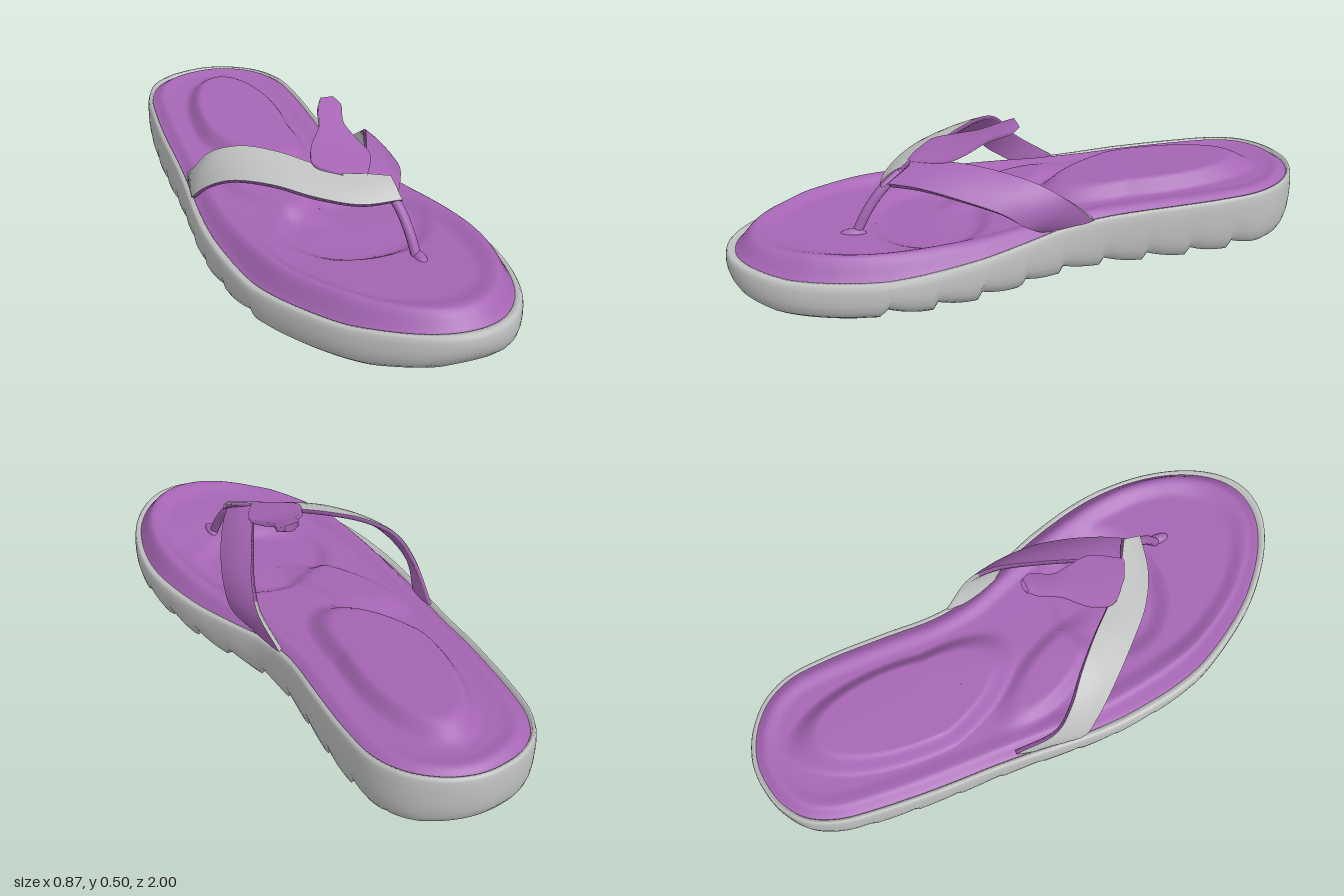
import * as THREE from 'three';

const grey = new THREE.MeshStandardMaterial({ color: 0xc0c2c1, side: THREE.DoubleSide });
grey.name = 'grey rubber';
const purple = new THREE.MeshStandardMaterial({ color: 0xa565b3, side: THREE.DoubleSide });
purple.name = 'purple foam';

const smooth = THREE.MathUtils.smoothstep;
const V = (p) => new THREE.Vector3(...p);

// Linear lookup in a short list of [z, value] pairs
function at(table, z) {
  if (z <= table[0][0]) return table[0][1];
  for (let i = 1; i < table.length; i++) {
    const [z0, a] = table[i - 1], [z1, b] = table[i];
    if (z <= z1) return a + (b - a) * (z - z0) / (z1 - z0);
  }
  return table[table.length - 1][1];
}

// Skin through rows of points; normals face (row direction) x (column direction)
function loft(rows, closed) {
  const n = rows[0].length, pos = [], idx = [];
  rows.forEach((row) => row.forEach((p) => pos.push(p.x, p.y, p.z)));
  for (let r = 0; r < rows.length - 1; r++) {
    for (let i = 0; i < (closed ? n : n - 1); i++) {
      const j = (i + 1) % n;
      const a = r * n + i, b = a + n, c = r * n + j, d = c + n;
      idx.push(a, b, c, b, d, c);
    }
  }
  const g = new THREE.BufferGeometry();
  g.setAttribute('position', new THREE.Float32BufferAttribute(pos, 3));
  g.setIndex(idx);
  g.computeVertexNormals();
  return g;
}

function add(group, name, geometry, material) {
  const m = new THREE.Mesh(geometry, material);
  m.name = name;
  group.add(m);
}

// Foot outline: [z, inner x, outer x]
const WIDTHS = [
  [-0.993, -0.19, -0.07], [-0.965, -0.275, 0.005], [-0.9, -0.355, 0.09], [-0.8, -0.4, 0.148], [-0.65, -0.418, 0.172],
  [-0.45, -0.425, 0.18], [-0.25, -0.422, 0.185], [-0.1, -0.425, 0.22], [0.05, -0.432, 0.293],
  [0.2, -0.43, 0.36], [0.4, -0.402, 0.42], [0.53, -0.365, 0.435], [0.68, -0.285, 0.425],
  [0.82, -0.18, 0.385], [0.92, -0.065, 0.32], [0.97, 0.02, 0.26], [0.993, 0.085, 0.205],
];
const outline = new THREE.CatmullRomCurve3([
  V([-0.13, 0, -1]),
  ...WIDTHS.map(([z, , x]) => V([x, 0, z])),
  V([0.145, 0, 1]),
  ...WIDTHS.slice().reverse().map(([z, x]) => V([x, 0, z])),
], true).getSpacedPoints(280).slice(0, -1);
const SPINE = WIDTHS.map(([z, a, b]) => [z, (a + b) / 2]);

// Outline shrunk toward the spine by s, with a height rule
const ring = (s, height) => outline.map((p) => {
  const cz = THREE.MathUtils.clamp(p.z, -0.72, 0.55), cx = at(SPINE, cz);
  const x = cx + (p.x - cx) * s, z = cz + (p.z - cz) * s;
  return new THREE.Vector3(x, height(x, z, s), z);
});

const TOP = [[-1, 0.225], [-0.9, 0.222], [-0.4, 0.195], [0, 0.165], [0.2, 0.15], [0.5, 0.138], [0.8, 0.15], [1, 0.176]];
const BOTTOM = [[-1, 0.055], [-0.92, 0.032], [-0.6, 0.01], [-0.3, 0.002], [0.2, 0.003], [0.6, 0.015], [0.85, 0.028], [0.95, 0.052], [1, 0.085]];
const RISE = [[-1, 0.01], [-0.3, 0.014], [-0.1, 0.022], [0.2, 0.045], [0.5, 0.07], [0.75, 0.068], [0.9, 0.055], [1, 0.04]];
const INSIDE = [[-1, 0.003], [-0.3, 0.006], [-0.1, 0.01], [0.3, 0.035], [0.7, 0.05], [1, 0.04]];

// Tread: slanted saw-tooth ribs with a shallow channel down the middle
function tread(x, z, s) {
  const zone = smooth(z, -0.86, -0.76) * (1 - smooth(z, 0.5, 0.62));
  const off = Math.abs(x - at(SPINE, z));
  const t = (z + off * 0.4 + 2) / 0.157;
  const saw = Math.pow(t - Math.floor(t), 2);
  return at(BOTTOM, z) + zone * (0.03 * saw + 0.018 * (1 - smooth(off, 0.06, 0.12)) * (s < 0.9 ? 1 : 0));
}

// Footbed: raised rim, heel pad, arch mound and a hollow under the toes
function footbed(x, z, s) {
  const top = at(TOP, z), rise = at(RISE, z);
  let y = top - 0.012 + (rise + 0.012) * (1 - smooth(s, 0.8, 0.965));
  y -= (rise - at(INSIDE, z)) * (1 - smooth(s, 0.64, 0.8));
  const padX = -0.125 + 0.25 * Math.max(0, z + 0.35);
  const pad = Math.hypot((x - padX) / 0.17, (z + 0.45) / 0.4);
  y += 0.05 * (1 - smooth(pad, 0.78, 1.08));
  const arch = Math.hypot((x + 0.17 - 0.5 * (z - 0.05)) / 0.11, (z - 0.05) / 0.24);
  y += 0.025 * (1 - smooth(arch, 0.55, 1.1));
  const hollow = Math.hypot((x - 0.03) / 0.24, (z - 0.34) / 0.2);
  return y - 0.025 * (1 - smooth(hollow, 0.8, 1.1));
}

// Strap with a top face and a wrapped underside, from two edge paths;
// the underside is grey along the first greyRoot part of its length
function strap(name, edgeA, edgeB, topMaterial, thickness, greyRoot = 0) {
  const g = new THREE.Group(), steps = 40;
  g.name = name;
  const [A, B] = [edgeA, edgeB].map((e) => new THREE.CatmullRomCurve3(e.map(V)));
  const top = [[], [], [], [], []], under = [[], [], [], []];
  for (let i = 0; i <= steps; i++) {
    const u = i / steps, a = A.getPoint(u), b = B.getPoint(u);
    const n = b.clone().sub(a).cross(A.getTangent(u)).normalize();
    top.forEach((row, k) => {
      const v = k / 4;
      row.push(a.clone().lerp(b, v).addScaledVector(n, thickness * 2 * v * (1 - v)));
    });
    const down = n.multiplyScalar(-thickness);
    under[0].push(b);
    under[1].push(b.clone().add(down));
    under[2].push(a.clone().add(down));
    under[3].push(a);
  }
  add(g, name + 'Top', loft(top, false), topMaterial);
  const k = Math.round(greyRoot * steps);
  add(g, name + 'Underside', loft(under.map((row) => row.slice(k)), false), purple);
  if (k > 0) add(g, name + 'Root', loft(under.map((row) => row.slice(0, k + 1)), false), grey);
  return g;
}

export function createModel() {
  const model = new THREE.Group();
  model.name = 'sandal';

  // Grey sole: ribbed bottom, bulging side wall, rolled rim
  const soleRows = [];
  for (let i = 0; i <= 16; i++) soleRows.push(ring(0.92 * i / 16, tread));
  const wall = (k) => (x, z, s) => THREE.MathUtils.lerp(tread(x, z, s), at(TOP, z), k);
  [[0.96, 0.1], [0.985, 0.24], [0.997, 0.42], [1, 0.6], [0.998, 0.8], [0.99, 0.93], [0.975, 1], [0.94, 1], [0.91, 0.85]]
    .forEach(([s, k]) => soleRows.push(ring(s, wall(k))));
  add(model, 'sole', loft(soleRows, true), grey);

  // Purple footbed, set slightly toward the outer side
  const bedRows = [];
  for (let i = 0; i <= 44; i++) bedRows.push(ring(0.955 * (1 - i / 44), footbed));
  add(model, 'footbed', loft(bedRows, true).translate(0.006, 0, 0), purple);

  // Straps meeting above the toe post
  model.add(strap('rightStrap',
    [[-0.395, 0.19, -0.17], [-0.4, 0.28, -0.03], [-0.355, 0.365, 0.04], [-0.27, 0.405, 0.11], [-0.17, 0.408, 0.2], [-0.07, 0.392, 0.3], [0.03, 0.39, 0.38], [0.115, 0.39, 0.43]],
    [[-0.405, 0.16, -0.04], [-0.43, 0.22, 0.06], [-0.4, 0.28, 0.12], [-0.335, 0.335, 0.2], [-0.23, 0.357, 0.31], [-0.12, 0.345, 0.41], [0, 0.332, 0.475], [0.125, 0.34, 0.5]],
    grey, 0.014));
  model.add(strap('leftStrap',
    [[0.2, 0.15, -0.05], [0.262, 0.21, 0.04], [0.262, 0.265, 0.12], [0.225, 0.31, 0.25], [0.17, 0.338, 0.38], [0.115, 0.34, 0.485]],
    [[0.185, 0.18, -0.2], [0.22, 0.28, -0.1], [0.205, 0.335, -0.01], [0.16, 0.372, 0.11], [0.105, 0.392, 0.25], [0.05, 0.385, 0.39]],
    purple, 0.014, 0.28));

  // Loose tongue standing up behind the strap joint
  model.add(strap('tongue',
    [[0.05, 0.375, 0.4], [0.1, 0.385, 0.29], [0.085, 0.407, 0.21], [0.065, 0.436, 0.14], [0.082, 0.468, 0.06], [0.065, 0.484, 0.03]],
    [[-0.02, 0.375, 0.37], [-0.09, 0.39, 0.3], [-0.075, 0.408, 0.22], [-0.02, 0.44, 0.14], [0.0, 0.47, 0.07], [0.02, 0.487, 0.035]],
    purple, 0.016));

  // Toe post with a small foot
  const post = new THREE.CatmullRomCurve3([[0.085, 0.36, 0.43], [0.112, 0.325, 0.485], [0.13, 0.26, 0.54], [0.145, 0.16, 0.595]].map(V));
  add(model, 'toePost', new THREE.TubeGeometry(post, 20, 0.016, 10), purple);
  const foot = new THREE.SphereGeometry(1, 16, 10).scale(0.02, 0.02, 0.045).translate(0.148, 0.182, 0.595);
  add(model, 'toePostFoot', foot, purple);

  return model;
}
